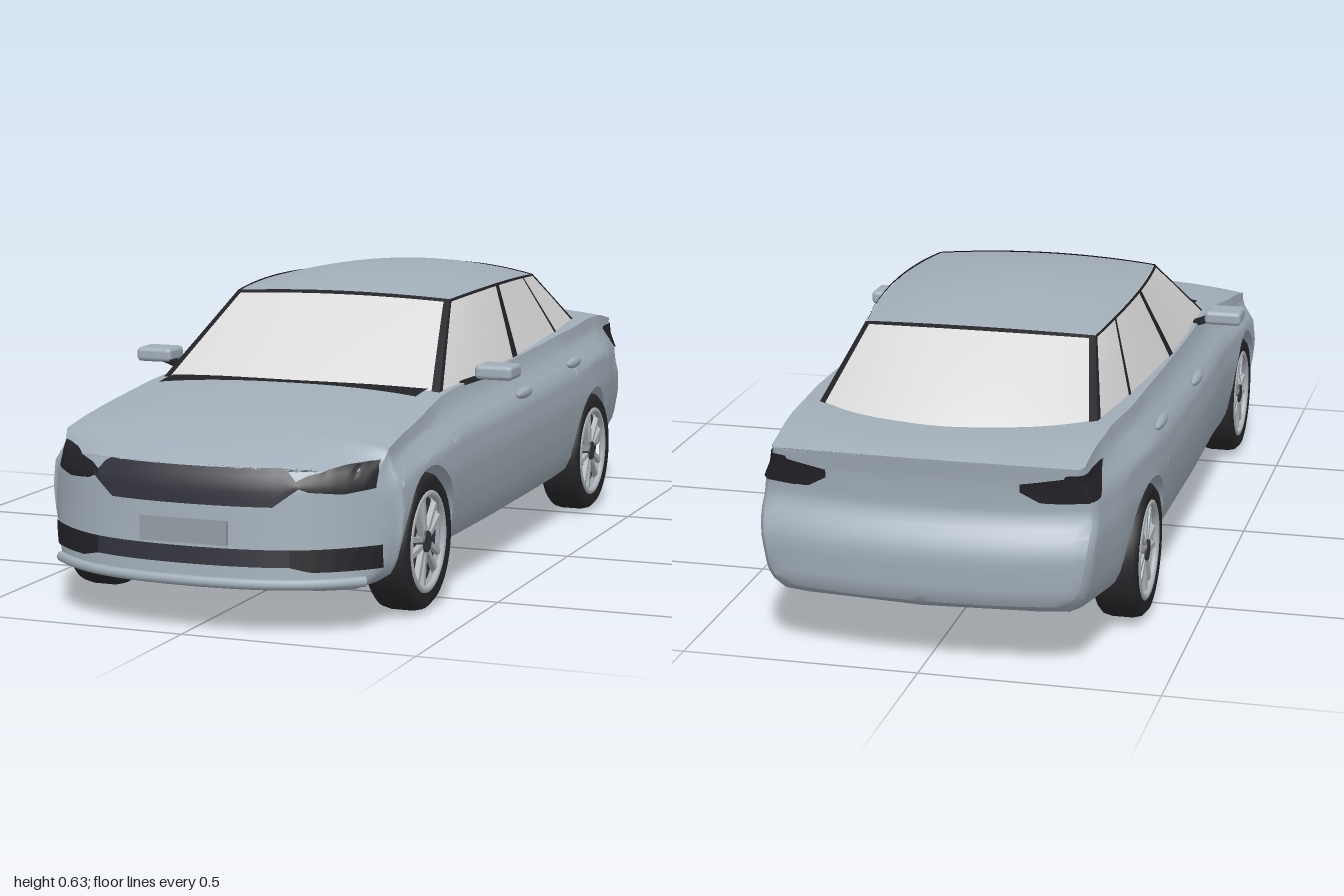
import * as THREE from 'three';
import { mergeGeometries, toCreasedNormals } from 'three/addons/utils/BufferGeometryUtils.js';
import { RoundedBoxGeometry } from 'three/addons/geometries/RoundedBoxGeometry.js';

const V = (x, y, z) => new THREE.Vector3(x, y, z);
const clamp01 = t => Math.min(1, Math.max(0, t));
const mix = (a, b, t) => a + (b - a) * t;

// piecewise linear lookup in a sorted list of [key, value]
function look(table, k) {
  if (k <= table[0][0]) return table[0][1];
  for (let i = 1; i < table.length; i++) {
    const [a, va] = table[i - 1], [b, vb] = table[i];
    if (k <= b) return mix(va, vb, (k - a) / (b - a));
  }
  return table[table.length - 1][1];
}

function material(name, color, double) {
  const m = new THREE.MeshStandardMaterial({ color });
  m.name = name;
  if (double) m.side = THREE.DoubleSide;
  return m;
}

// surface through rows of points
function grid(rows, flip = false) {
  const pos = [], idx = [], n = rows[0].length;
  rows.forEach(r => r.forEach(p => pos.push(p.x, p.y, p.z)));
  for (let i = 0; i < rows.length - 1; i++) for (let j = 0; j < n - 1; j++) {
    const a = i * n + j, b = a + n, c = b + 1, d = a + 1;
    idx.push(...(flip ? [a, c, b, a, d, c] : [a, b, c, a, c, d]));
  }
  const g = new THREE.BufferGeometry();
  g.setAttribute('position', new THREE.Float32BufferAttribute(pos, 3));
  g.setIndex(idx);
  g.computeVertexNormals();
  return g;
}
const range = (n, fn) => Array.from({ length: n + 1 }, (_, i) => fn(i / n));
const patch = (fn, nu, nv) => grid(range(nu, u => range(nv, v => fn(u, v))));

// body measures along z: half width, centre height, belt height, floor, belt width share
const WIDTH = [[-1, .34], [-.985, .35], [-.9, .358], [-.75, .378], [-.55, .396], [-.3, .4], [.1, .4], [.35, .393], [.6, .4], [.78, .396], [.93, .38], [.965, .37], [.975, .358]];
const TOP = [[-1, .445], [-.95, .457], [-.8, .463], [-.5, .45], [0, .44], [.42, .435], [.5, .43], [.7, .407], [.85, .374], [.93, .352], [.975, .337]];
const BELT = [[-1, .432], [-.85, .452], [-.7, .458], [-.4, .45], [0, .435], [.4, .42], [.5, .407], [.7, .38], [.85, .352], [.975, .328]];
const FLOOR = [[-1, .15], [-.985, .133], [-.9, .115], [-.75, .108], [-.4, .104], [.4, .095], [.8, .09], [.96, .09], [.975, .1]];
const SHARE = [[-1, .93], [-.7, .87], [.4, .86], [.7, .9], [.975, .94]];
const NOSE = [[.1, 0], [.2, .008], [.3, .015], [.34, .035]];
const TAIL = [[.12, .03], [.17, .005], [.25, 0], [.28, .008], [.33, .04], [.4, .036], [.45, .028]];
const AXLES = [-.57, .62], ARCH = .16, HUB = .145;

// bends the ends round in plan and shapes their faces
function warp(x, y, z) {
  const f = clamp01((z - .785) / .19), r = clamp01((-z - .76) / .24), q = x * x;
  return V(x, y, z - f * (.5 * q + 4.5 * q * q + look(NOSE, y)) + r * (.3 * q + q * q + look(TAIL, y)));
}

const SIDE_ROWS = 16, TOP_ROWS = 8;
function section(z) {
  const W = look(WIDTH, z), yT = look(TOP, z), yS = look(BELT, z), yB = look(FLOOR, z), share = look(SHARE, z);
  let low = yB;
  for (const a of AXLES) {
    const d = Math.abs(z - a);
    if (d < ARCH) low = Math.max(yB, HUB + Math.sqrt(ARCH * ARCH - d * d));
  }
  const side = [[0, .85], [.04, .91], [.15, .955], [.35, .985], [.55, 1], [.75, .985], [.9, .3 + share * .7 - .02], [1, share]];
  const pts = range(TOP_ROWS, u => [u * W * share, yT - (yT - yS) * u ** 2.5]);
  for (let i = 1; i <= SIDE_ROWS; i++) {
    const y = mix(yS, low, i / SIDE_ROWS);
    pts.push([W * look(side, (y - yB) / (yS - yB)), y]);
  }
  const inner = Math.min(.28, W * .7);
  pts.push([inner, low], [inner, yB], [0, yB]);
  return pts;
}

function bodyGeometry() {
  const zs = [-1, -.995, -.985, -.96, -.92, -.88, -.84, -.8, -.76, .79, .82, .86, .9, .93, .955, .965, .975];
  for (const a of AXLES) {
    zs.push(a - ARCH - .0005, a + ARCH + .0005);
    range(16, t => zs.push(a - (ARCH - .0002) * Math.cos(t * Math.PI)));
  }
  range(9, t => zs.push(mix(-.37, .42, t)));
  zs.sort((a, b) => a - b);
  const half = s => zs.map(z => section(z).map(([x, y]) => warp(s * x, y, z)));
  const cap = z => section(z).slice(0, -3).map(([x, y]) => range(24, t => warp(x * (2 * t - 1), y, z)));
  return toCreasedNormals(mergeGeometries([grid(half(1)), grid(half(-1), true), grid(cap(.975)), grid(cap(-1), true)]), .6);
}

// cabin surfaces
const arc = (x, yc, y, zc, z) => w => V(w * x, mix(yc, y, w * w), mix(zc, z, w * w));
const shieldLow = arc(.325, .423, .418, .44, .385), shieldHigh = arc(.255, .6, .59, .14, .125);
const rearLow = arc(.3, .453, .448, -.82, -.69), rearHigh = arc(.25, .605, .585, -.55, -.49);
const ruled = (low, high, dir) => (u, v) => {
  const w = 2 * u - 1, p = low(w).lerp(high(w), v);
  p.z += dir * .06 * (1 - w * w) * v * (1 - v);
  return p;
};
const shield = ruled(shieldLow, shieldHigh, 1), rearGlass = ruled(rearLow, rearHigh, -1);
const roofSide = s => shieldHigh(1).lerp(rearHigh(1), s).add(V(.02, .011, 0).multiplyScalar(4 * s * (1 - s)));
const beltSide = s => shieldLow(1).lerp(rearLow(1), s).add(V(.026, 0, 0).multiplyScalar(4 * s * (1 - s)));
const sideGlass = m => (s, v) => beltSide(s).lerp(roofSide(s), v).multiply(V(m, 1, 1));
const roof = (s, v) => {
  const w = 1 - 2 * v, e = roofSide(s);
  const y = mix(.6, .605, s) + .032 * 4 * s * (1 - s);
  return V(w * e.x, mix(y, e.y, w * w), mix(mix(.14, -.55, s), e.z, w * w));
};
// thin band lying just outside part of a cabin surface
const band = (fn, u0, u1, v0, v1) => patch((u, v) => {
  const p = fn(mix(u0, u1, u), mix(v0, v1, v));
  return p.add(p.clone().sub(V(0, .45, -.15)).normalize().multiplyScalar(.004));
}, 16, 16);

export function createModel() {
  const car = new THREE.Group();
  car.name = 'sedan';
  const paint = material('body paint', 0xa1adb8), glass = material('window glass', 0xdadada, true);
  const trim = material('black trim', 0x222227, true), grilleMat = material('grille', 0x32323c, true);
  const rubber = material('tyre rubber', 0x27272b), alloy = material('wheel alloy', 0xaeb4ba);
  const plateMat = material('number plate', 0x959da5), wellMat = material('wheel dark', 0x34353b);
  const add = (name, geo, mat, parent = car) => {
    const m = new THREE.Mesh(geo, mat);
    m.name = name;
    parent.add(m);
    return m;
  };

  const body = add('body', bodyGeometry(), paint);
  add('roof', patch(roof, 24, 24), paint);
  add('windshield', patch(shield, 20, 8), glass);
  add('rearWindow', patch(rearGlass, 20, 8), glass);

  // window frames and pillars
  for (const [name, fn] of [['windshieldFrame', shield], ['rearWindowFrame', rearGlass]]) {
    add(name, mergeGeometries([band(fn, 0, .025, 0, 1), band(fn, .975, 1, 0, 1), band(fn, 0, 1, .965, 1)]), trim);
  }
  for (const m of [1, -1]) {
    const f = sideGlass(m);
    add('sideWindows', patch(f, 24, 6), glass);
    add('sidePillars', mergeGeometries([band(f, 0, .016, 0, 1), band(f, .425, .458, 0, 1), band(f, .782, .798, 0, 1), band(f, .982, 1, 0, 1), band(f, 0, 1, .965, 1)]), trim);
  }

  // thin panels laid onto the body, projected along one axis
  const ray = new THREE.Raycaster();
  const axes = {
    front: [(u, v) => V(u, v, 2), V(0, 0, -1)], rear: [(u, v) => V(u, v, -2), V(0, 0, 1)],
    left: [(u, v) => V(2, v, u), V(-1, 0, 0)], right: [(u, v) => V(-2, v, u), V(1, 0, 0)],
    top: [(u, v) => V(u, 2, v), V(0, -1, 0)],
  };
  const project = (dir, u, v) => {
    ray.set(axes[dir][0](u, v), axes[dir][1]);
    const hit = ray.intersectObject(body)[0];
    return hit ? hit.point.addScaledVector(hit.face.normal, .004) : null;
  };
  function panel(name, mat, dir, low, high, nu = 16, nv = 5) {
    const a = low[0][0], b = low[low.length - 1][0];
    let last = null;
    const rows = range(nu, s => range(nv, t => {
      const u = mix(a, b, s), p = project(dir, u, mix(look(low, u), look(high, u), t));
      last = p || last || V(0, .3, 0);
      return last.clone();
    }));
    add(name, grid(rows), mat);
  }
  const flipTable = t => t.map(([k, v]) => [-k, v]).reverse();
  panel('grille', grilleMat, 'front', [[-.225, .298], [-.175, .26], [.175, .26], [.225, .298]], [[-.225, .3], [-.195, .333], [.195, .333], [.225, .3]], 36);
  panel('lowerGrille', grilleMat, 'front', [[-.21, .14], [.21, .14]], [[-.21, .175], [.21, .175]], 20);
  panel('cowl', trim, 'top', range(12, t => [mix(-.3, .3, t), mix(.435, .385, (2 * t - 1) ** 2)]), [[-.3, .462], [.3, .462]], 24);
  panel('rearPlate', plateMat, 'rear', [[-.085, .345], [.085, .345]], [[-.085, .392], [.085, .392]], 10);
  const pairs = [
    ['headlight', 'front', [[.215, .3], [.24, .29], [.3, .284], [.35, .292]], [[.215, .308], [.235, .32], [.3, .337], [.35, .343]]],
    ['sideIntake', 'front', [[.21, .14], [.25, .13], [.362, .13]], [[.21, .175], [.362, .177]]],
    ['tailLight', 'rear', [[.2, .385], [.24, .362], [.335, .36]], [[.2, .402], [.335, .42]]],
  ];
  for (const [name, dir, low, high] of pairs) {
    panel(name, trim, dir, low, high, 22);
    panel(name, trim, dir, flipTable(low), flipTable(high), 22);
  }
  for (const [dir, m] of [['left', 1], ['right', -1]]) {
    panel('tailLightSide', trim, dir, [[-.935, .36], [-.88, .362], [-.82, .412]], [[-.935, .42], [-.82, .422]], 14);
    // door handles
    for (const [z, y] of [[-.02, .365], [-.42, .382]]) {
      const h = add('doorHandle', new THREE.SphereGeometry(1, 16, 10), paint);
      h.scale.set(.011, .013, .052);
      h.position.copy(project(dir, z, y));
    }
    // door mirrors
    const mirror = add('mirror', new RoundedBoxGeometry(.086, .032, .075, 3, .01), paint);
    mirror.position.set(m * .407, .451, .232);
    const stalk = add('mirrorStalk', new THREE.BoxGeometry(.06, .012, .03), trim);
    stalk.position.set(m * .355, .432, .25);
    stalk.rotation.z = m * .35;
  }

  // front plate and chin lip
  add('frontPlate', new THREE.BoxGeometry(.19, .05, .008), plateMat).position.set(0, .21, .985);
  add('plateMount', new THREE.BoxGeometry(.15, .035, .03), paint).position.set(0, .21, .968);
  const lip = new THREE.CatmullRomCurve3(range(12, t => {
    const x = mix(-.34, .34, t);
    return warp(x, .1, .975).add(V(0, .006, .002));
  }));
  add('frontLip', new THREE.TubeGeometry(lip, 40, .011, 8), paint);

  // wheels, built with the axle along y and turned outward
  const tyre = new THREE.LatheGeometry([[.1, -.045], [.13, -.048], [.141, -.038], [.145, -.022], [.145, .022], [.141, .038], [.13, .048], [.1, .043]].map(p => new THREE.Vector2(...p)), 48);
  const rim = new THREE.TorusGeometry(.101, .008, 8, 48).rotateX(Math.PI / 2).translate(0, .04, 0);
  const spokes = [];
  for (let i = 0; i < 5; i++) for (const k of [-1, 1]) {
    spokes.push(new THREE.BoxGeometry(.011, .012, .082).rotateY(k * .16).translate(k * .014, .034, .06).rotateY(i * Math.PI * .4));
  }
  const spokeGeo = mergeGeometries(spokes);
  for (const z of AXLES) for (const m of [1, -1]) {
    const wheel = new THREE.Group();
    wheel.name = 'wheel';
    add('tyre', tyre, rubber, wheel);
    add('wheelDisc', new THREE.CylinderGeometry(.102, .102, .066, 40).translate(0, -.01, 0), wellMat, wheel);
    add('rim', rim, alloy, wheel);
    add('spokes', spokeGeo, alloy, wheel);
    add('hub', new THREE.CylinderGeometry(.022, .026, .02, 20).translate(0, .034, 0), wellMat, wheel);
    wheel.position.set(m * .343, HUB, z);
    wheel.rotation.z = -m * Math.PI / 2;
    car.add(wheel);
  }
  return car;
}
